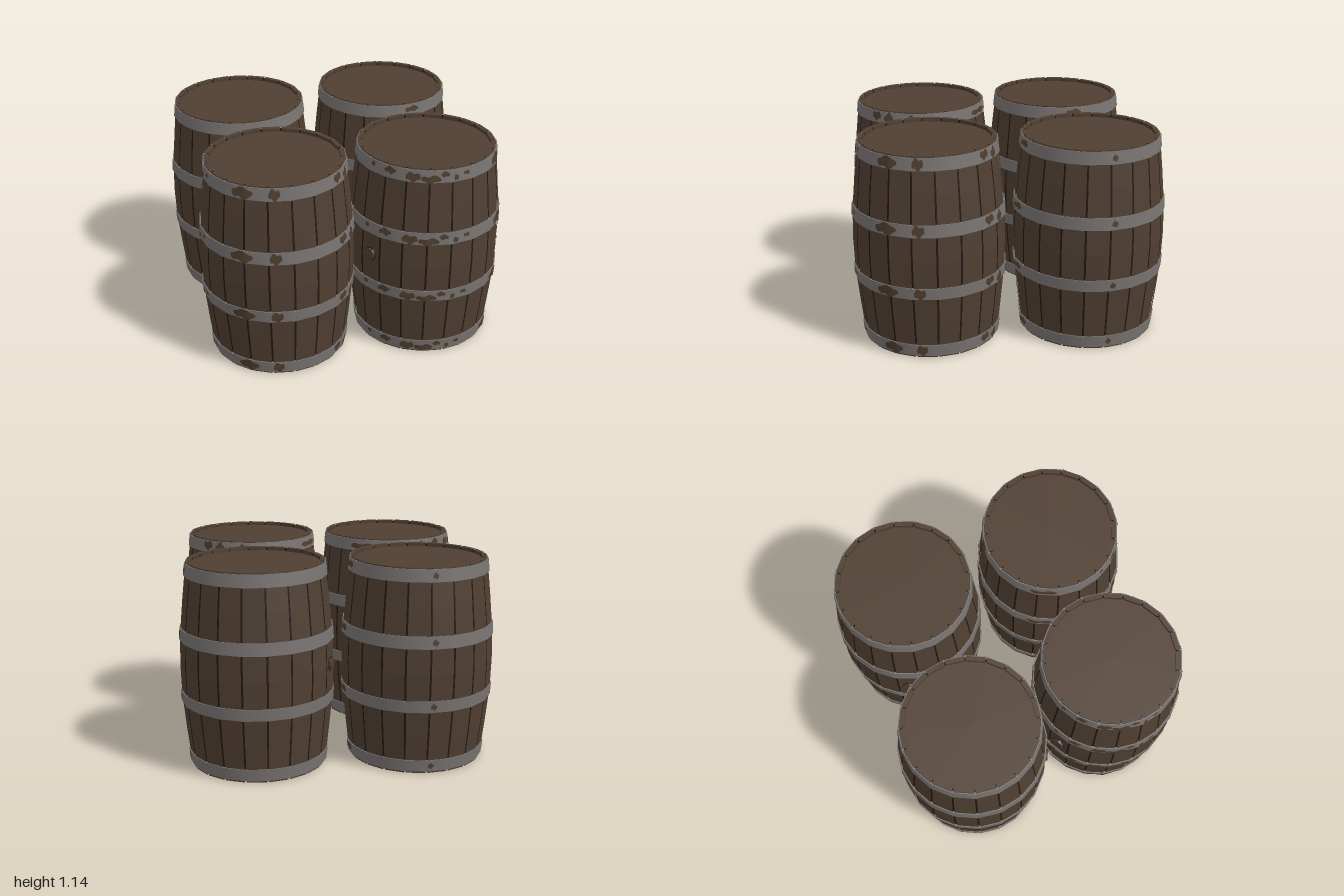
import * as THREE from 'three';
import { mergeGeometries } from 'three/addons/utils/BufferGeometryUtils.js';

const SIDES = 20, STEP = Math.PI * 2 / SIDES, HEIGHT = 1.137;
const RIM = 0.35, LID = 1.117, FLOOR = 0.035, BAND = 0.006;

// Barrel belly as [height, radius] pairs
const BELLY = [[0, 0.376], [0.2, 0.399], [0.395, 0.418], [0.57, 0.423], [0.74, 0.418], [0.935, 0.399], [HEIGHT, 0.376]];
const HOOPS = [[0.01, 0.077], [0.36, 0.425], [0.712, 0.78], [1.062, 1.13]];

// Rust spots: [degrees from the bung, half width in degrees, half height, height offset]
const RUST_HEAVY = [
  [-4, 2, 0.012, 0.012], [13, 5, 0.018, 0.01], [32, 6, 0.024, -0.005], [46, 8, 0.02, -0.014], [57, 3.5, 0.014, 0.012],
  [66, 2, 0.016, -0.01], [75, 2.5, 0.011, 0.006], [115, 9, 0.03, 0], [140, 4.5, 0.03, 0],
  [197, 5, 0.024, 0.006], [210, 4.5, 0.03, -0.003], [232, 5, 0.022, 0], [302, 12, 0.015, -0.005]];
const RUST_LIGHT = [[124, 7, 0.016, 0.005], [210, 2.5, 0.016, 0]];

const material = (name, color, extra) => {
  const m = new THREE.MeshStandardMaterial({ color, ...extra });
  m.name = name;
  return m;
};

function mesh(name, geometry, mat) {
  const m = new THREE.Mesh(geometry, mat);
  m.name = name;
  return m;
}

function radiusAt(y) {
  const i = Math.max(1, BELLY.findIndex(p => p[0] >= y));
  const [y0, r0] = BELLY[i - 1], [y1, r1] = BELLY[i];
  return r0 + (r1 - r0) * (y - y0) / (y1 - y0);
}

// Closed side outline with the rim folded in at both ends
function shell(inset) {
  const v = (r, y) => new THREE.Vector2(r, y);
  return [
    v(RIM + inset, FLOOR + 0.01), v(RIM + inset, inset),
    ...BELLY.map(([y, r]) => v(r - inset, THREE.MathUtils.clamp(y, inset, HEIGHT - inset))),
    v(RIM + inset, HEIGHT - inset), v(RIM + inset, LID - 0.01)];
}

// Separate staves with narrow gaps between them
function staves() {
  const gap = 0.025, list = [];
  for (let i = 0; i < SIDES; i++) {
    list.push(new THREE.LatheGeometry(shell(0), 1, (i - 0.5) * STEP + gap / 2, STEP - gap));
  }
  return mergeGeometries(list);
}

// Metal hoop: lower lip, smooth outer face and upper lip
function hoop([y0, y1]) {
  const a = radiusAt(y0), b = radiusAt(y1);
  const pts = [[a - 0.01, y0], [a + BAND, y0], [b + BAND, y1], [b - 0.01, y1]].map(p => new THREE.Vector2(...p));
  return mergeGeometries([0, 1, 2].map(i => new THREE.LatheGeometry(pts.slice(i, i + 2), SIDES, -STEP / 2)));
}

// Irregular spot lying on the flat sides of a hoop
function rustSpot([deg, width, height, shift], [y0, y1], seed) {
  const n = 16, pos = [], idx = [];
  const base = (y0 + y1) / 2 + shift;
  for (let i = 0; i <= n; i++) {
    const t = i / n * 2 - 1, angle = THREE.MathUtils.degToRad(deg + t * width);
    const local = angle - Math.round(angle / STEP) * STEP;
    const facet = Math.cos(STEP / 2) / Math.cos(local);
    const h = height * Math.sqrt(1 - t * t);
    const bottom = base - h * (1 + 0.3 * Math.sin(i * 0.7 + seed));
    const top = base + h * (1 + 0.3 * Math.cos(i * 0.6 + seed * 2));
    for (const raw of [bottom, top]) {
      const y = THREE.MathUtils.clamp(raw, y0, y1);
      const r = (radiusAt(y) + BAND) * facet + 0.002;
      pos.push(r * Math.sin(angle), y, r * Math.cos(angle));
    }
    if (i < n) {
      const k = i * 2;
      idx.push(k, k + 2, k + 1, k + 1, k + 2, k + 3);
    }
  }
  const g = new THREE.BufferGeometry();
  g.setAttribute('position', new THREE.Float32BufferAttribute(pos, 3));
  g.setIndex(idx);
  g.computeVertexNormals();
  return g;
}

function barrel(mats, spots) {
  const g = new THREE.Group();
  g.add(mesh('staves', staves(), mats.wood));
  g.add(mesh('staveGaps', new THREE.LatheGeometry(shell(0.006), SIDES, -STEP / 2), mats.gap));

  // Recessed top and bottom heads
  const head = new THREE.CylinderGeometry(RIM + 0.006, RIM + 0.006, LID - FLOOR, SIDES, 1, false, -STEP / 2);
  head.translate(0, (LID + FLOOR) / 2, 0);
  g.add(mesh('heads', head, mats.wood));

  // Metal hoops and their rust
  HOOPS.forEach((h, i) => g.add(mesh('hoop' + (i + 1), hoop(h), mats.metal)));
  const rust = HOOPS.flatMap(h => spots.map((s, j) => rustSpot(s, h, j)));
  g.add(mesh('rust', mergeGeometries(rust), mats.rust));

  // Bung with a dark collar
  for (const [name, r, out, mat] of [['bungCollar', 0.039, 0.004, mats.gap], ['bung', 0.034, 0.014, mats.wood]]) {
    const c = new THREE.CylinderGeometry(r, r, 0.04, 12).rotateX(Math.PI / 2);
    c.translate(0, 0.585, 0.417 + out - 0.02);
    g.add(mesh(name, c, mat));
  }
  return g;
}

export function createModel() {
  const mats = {
    wood: material('brown wood', 0x503f32, { flatShading: true }),
    gap: material('dark gap', 0x1f1813, { flatShading: true }),
    metal: material('grey metal', 0x787472),
    rust: material('brown rust', 0x503e2f, { side: THREE.DoubleSide }),
  };
  const model = new THREE.Group();
  model.name = 'barrels';

  // Position, direction of the bung in degrees, rust pattern
  const layout = [
    [-0.25, -0.578, -53, RUST_LIGHT],
    [0.572, -0.222, -138, RUST_LIGHT],
    [0.176, 0.574, -87, RUST_HEAVY],
    [-0.578, 0.2, -178, RUST_HEAVY]];
  layout.forEach(([x, z, turn, spots], i) => {
    const b = barrel(mats, spots);
    b.name = 'barrel' + (i + 1);
    b.position.set(x, 0, z);
    b.rotation.y = THREE.MathUtils.degToRad(turn);
    model.add(b);
  });
  return model;
}
